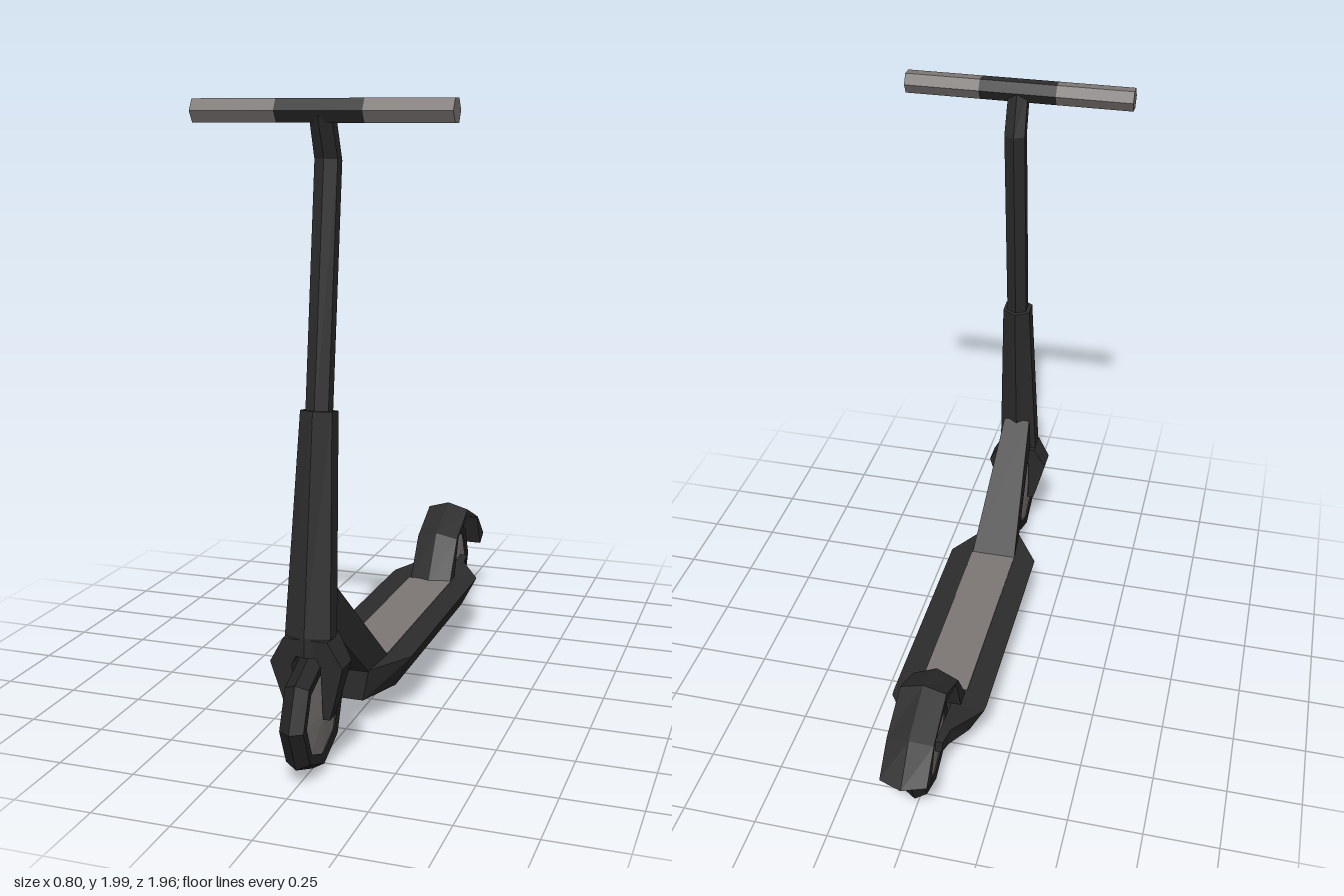
import * as THREE from 'three';

const mat = (color) => new THREE.MeshStandardMaterial({ color, flatShading: true, side: THREE.DoubleSide });
const DARK = mat(0x2c2c2c), TYRE = mat(0x242424), GREY = mat(0x7d7876);

// Joins matching closed cross-sections into a capped solid, faces outward
function loft(sections) {
  const tris = [], n = sections[0].length;
  for (let s = 0; s + 1 < sections.length; s++) {
    const a = sections[s], b = sections[s + 1];
    for (let i = 0; i < n; i++) {
      const j = (i + 1) % n;
      tris.push([a[i], a[j], b[j]], [a[i], b[j], b[i]]);
    }
  }
  const first = sections[0], last = sections[sections.length - 1];
  for (let i = 1; i + 1 < n; i++) {
    tris.push([first[0], first[i + 1], first[i]], [last[0], last[i], last[i + 1]]);
  }
  // A negative signed volume means the winding must be flipped
  const v = (p) => new THREE.Vector3(...p);
  const volume = tris.reduce((sum, [a, b, c]) => sum + v(a).dot(v(b).cross(v(c))), 0);
  if (volume < 0) tris.forEach((t) => t.reverse());
  const geo = new THREE.BufferGeometry();
  geo.setAttribute('position', new THREE.Float32BufferAttribute(tris.flat(2), 3));
  geo.computeVertexNormals();
  return geo;
}

// Six-sided tube ring, with a corner at the front; tilt leans the ring
function hexRing(y, z, halfX, radZ, tilt) {
  return Array.from({ length: 6 }, (_, i) => {
    const a = (i * Math.PI) / 3, dz = radZ * Math.cos(a);
    return [(halfX * Math.sin(a)) / 0.866, y + tilt * dz, z + dz];
  });
}

export function createModel() {
  const model = new THREE.Group();
  const add = (name, geo, material, x = 0, y = 0, z = 0) => {
    const mesh = new THREE.Mesh(geo, material);
    mesh.name = name;
    mesh.position.set(x, y, z);
    model.add(mesh);
    return mesh;
  };
  const lathe = (pts) =>
    new THREE.LatheGeometry(pts.map((p) => new THREE.Vector2(...p)), 8).rotateZ(Math.PI / 2);
  const bar = (r, len) => new THREE.CylinderGeometry(r, r, len, 6).rotateZ(Math.PI / 2);

  // Wheels: ridged eight-sided tyre, shallow cone hub and axle
  for (const [side, z] of [['front', 0.795], ['rear', -0.695]]) {
    add(side + 'Tyre', lathe([[0.133, -0.036], [0.165, -0.038], [0.187, 0], [0.165, 0.038], [0.133, 0.036]]), TYRE, 0, 0.188, z);
    add(side + 'Hub', lathe([[0, -0.042], [0.134, -0.032], [0.134, 0.032], [0, 0.042]]), GREY, 0, 0.188, z);
    add(side + 'Axle', bar(0.018, 0.11), DARK, 0, 0.195, z);
  }

  // Deck: tapered nose, wider on top than below
  add('deck', loft([[0.475, 0.07, 0.05], [0.32, 0.165, 0.11], [-0.5, 0.165, 0.11]].map(([z, top, low]) =>
    [[-low, 0.095, z], [low, 0.095, z], [top, 0.2, z], [-top, 0.2, z]])), DARK);
  add('gripPad', new THREE.BoxGeometry(0.166, 0.006, 0.76), GREY, 0, 0.201, -0.06);

  // Neck from the deck nose up to the steering column
  add('neck', loft([
    [[-0.07, 0.195, 0.475], [0.07, 0.195, 0.475], [0.083, 0.2, 0.325], [-0.083, 0.2, 0.325]],
    [[-0.05, 0.45, 0.765], [0.05, 0.45, 0.765], [0.05, 0.575, 0.73], [-0.05, 0.575, 0.73]],
  ]), DARK);

  for (const [side, m] of [['left', 1], ['right', -1]]) {
    // Rear stays: z, inner x, top outer x, bottom outer x, bottom y, top y
    add(side + 'RearStay', loft([
      [-0.49, 0.044, 0.165, 0.11, 0.095, 0.2],
      [-0.52, 0.044, 0.163, 0.11, 0.098, 0.2],
      [-0.65, 0.044, 0.078, 0.07, 0.148, 0.215],
      [-0.72, 0.044, 0.07, 0.066, 0.178, 0.222],
    ].map(([z, xi, xt, xb, y0, y1]) => [[m * xi, y0, z], [m * xb, y0, z], [m * xt, y1, z], [m * xi, y1, z]])), DARK);
    // Front fork blades: y, inner x, outer x, back z, front z
    add(side + 'ForkBlade', loft([
      [0.43, 0, 0.07, 0.745, 0.845],
      [0.35, 0.045, 0.115, 0.757, 0.838],
      [0.22, 0.044, 0.08, 0.769, 0.822],
      [0.175, 0.044, 0.066, 0.772, 0.817],
    ].map(([y, xi, xo, z0, z1]) => [[m * xi, y, z0], [m * xo, y, z0], [m * xo, y, z1], [m * xi, y, z1]])), DARK);
  }

  // Steering column: thick lower sleeve, slim tube bent forward at the top
  add('columnSleeve', loft([
    hexRing(0.37, 0.802, 0.06, 0.05, 0.13),
    hexRing(0.43, 0.795, 0.072, 0.057, 0.13),
    hexRing(1.095, 0.707, 0.05, 0.055, 0.13),
  ]), DARK);
  add('columnTube', loft([
    hexRing(1.05, 0.713, 0.036, 0.04, 0.13),
    hexRing(1.82, 0.613, 0.036, 0.038, 0.1),
    hexRing(1.955, 0.66, 0.034, 0.036, -0.35),
  ]), DARK);

  // Handlebar with a grip on each side
  add('handlebar', bar(0.04, 0.27), DARK, 0, 1.96, 0.66);
  for (const [side, m] of [['left', 1], ['right', -1]]) {
    add(side + 'Grip', bar(0.04, 0.265), GREY, m * 0.2675, 1.96, 0.66);
  }

  // Rear mudguard: ridged strip arching over the wheel (outer z, y, inner z, y)
  add('mudguard', loft([
    [-0.42, 0.197, -0.51, 0.197],
    [-0.525, 0.362, -0.565, 0.342],
    [-0.695, 0.44, -0.695, 0.388],
    [-0.875, 0.366, -0.845, 0.342],
    [-0.978, 0.25, -0.9, 0.22],
  ].map(([zo, yo, zi, yi]) => {
    // Shoulders sit slightly inside the central ridge
    const zs = zo + (-0.695 - zo) * 0.1, ys = yo - (yo > 0.3 ? 0.022 : 0);
    return [[0, yo, zo], [0.078, ys, zs], [0.078, yi, zi], [-0.078, yi, zi], [-0.078, ys, zs]];
  })), DARK);

  return model;
}
